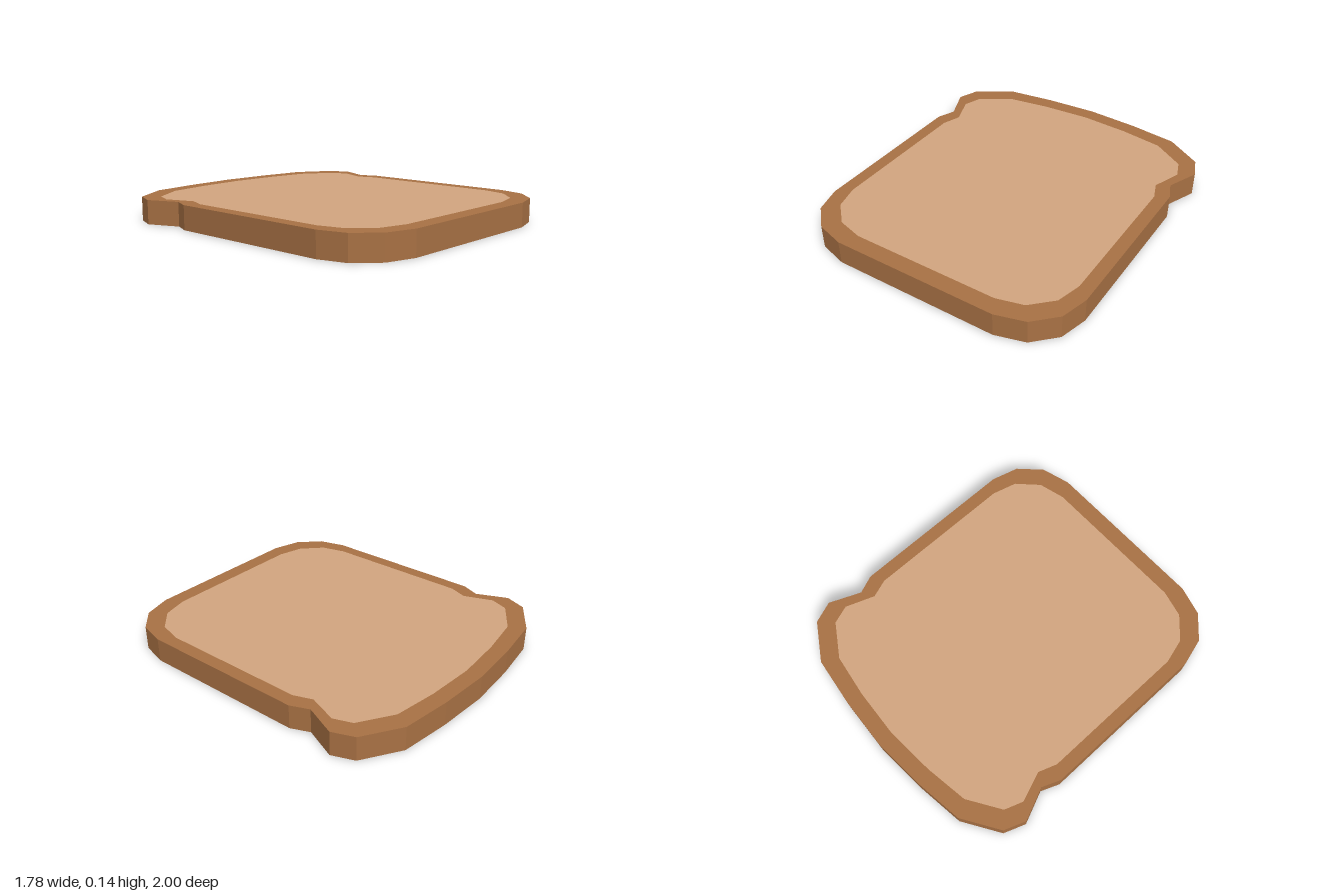
import * as THREE from 'three';

const HEIGHT = 0.145;

// Right halves of the two outlines as [x, z], from back centre to front.
const crustHalf = [
  [0, -1], [0.32, -0.98], [0.62, -0.94], [0.84, -0.8], [0.89, -0.67], [0.81, -0.48],
  [0.855, -0.37], [0.855, 0.66], [0.81, 0.825], [0.685, 0.95], [0.51, 1],
];
const crumbHalf = [
  [0, -0.905], [0.3, -0.885], [0.565, -0.845], [0.76, -0.72], [0.8, -0.61], [0.735, -0.435],
  [0.775, -0.325], [0.775, 0.59], [0.735, 0.74], [0.615, 0.858], [0.455, 0.9],
];

// Mirrors a half outline into a closed loop in shape space (y = -z).
function outline(half) {
  const mirrored = half.slice(1).reverse().map(([x, z]) => [-x, z]);
  return [...half, ...mirrored].map(([x, z]) => new THREE.Vector2(x, -z));
}

// Extrudes a shape upwards from the ground.
function slab(name, shape, material) {
  const geometry = new THREE.ExtrudeGeometry(shape, { depth: HEIGHT, bevelEnabled: false });
  geometry.rotateX(-Math.PI / 2);
  const mesh = new THREE.Mesh(geometry, material);
  mesh.name = name;
  return mesh;
}

export function createModel() {
  const crustBrown = new THREE.MeshStandardMaterial({ color: 0xa87144 });
  crustBrown.name = 'crust brown';
  const crumbTan = new THREE.MeshStandardMaterial({ color: 0xd2a57f });
  crumbTan.name = 'crumb tan';

  const model = new THREE.Group();
  model.name = 'breadSlice';

  // Crust: a ring around the slice
  const ring = new THREE.Shape(outline(crustHalf));
  ring.holes.push(new THREE.Path(outline(crumbHalf)));
  model.add(slab('crust', ring, crustBrown));

  // Crumb: fills the ring, flush with it above and below
  model.add(slab('crumb', new THREE.Shape(outline(crumbHalf)), crumbTan));

  return model;
}
